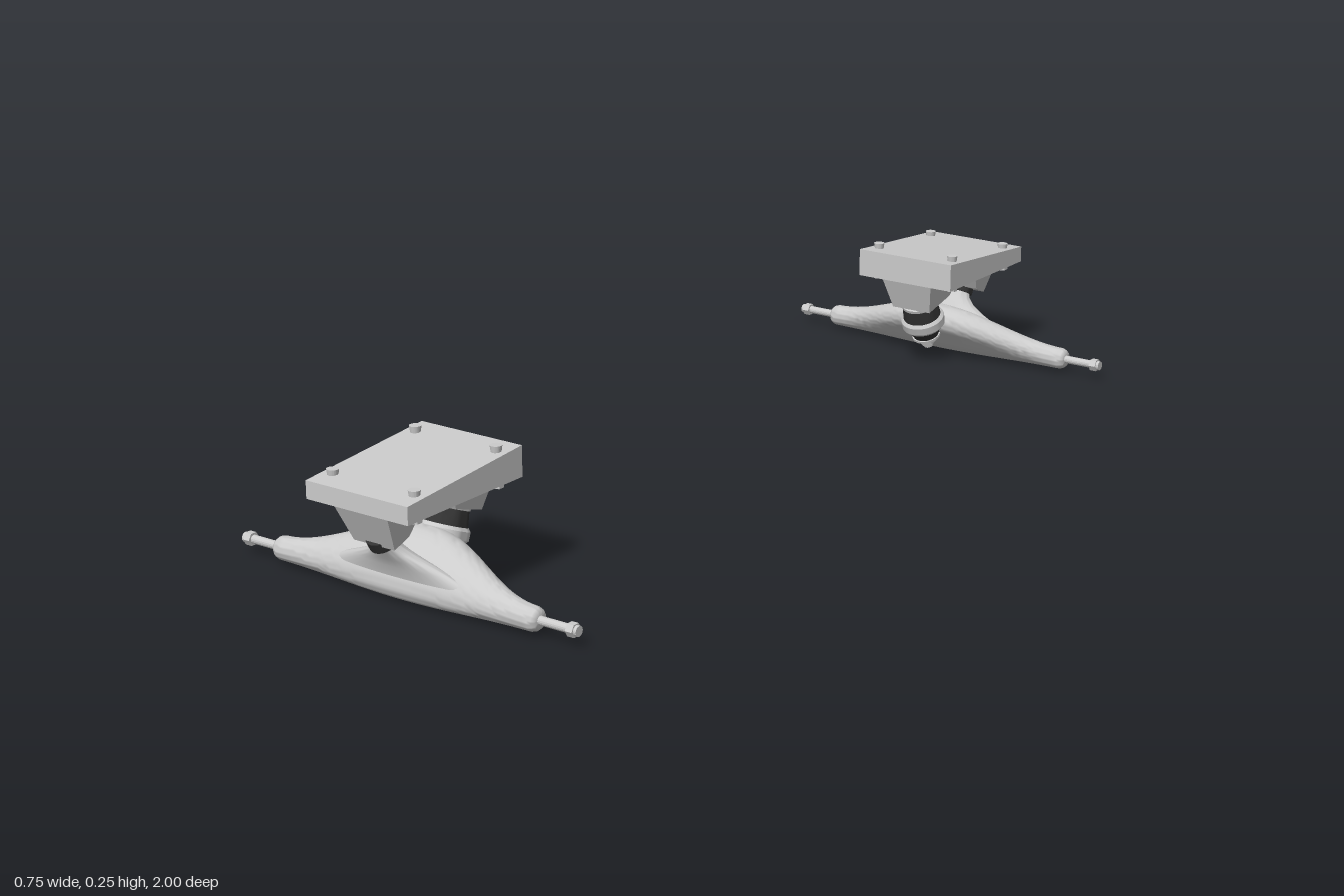
import * as THREE from 'three';
import { toCreasedNormals } from 'three/addons/utils/BufferGeometryUtils.js';

const metal = new THREE.MeshStandardMaterial({ color: 0xcccccc });
const rubber = new THREE.MeshStandardMaterial({ color: 0x333333 });

function add(parent, name, geometry, x = 0, y = 0, z = 0, material = metal) {
  const mesh = new THREE.Mesh(geometry, material);
  mesh.name = name;
  mesh.position.set(x, y, z);
  parent.add(mesh);
  return mesh;
}

// Skin a closed solid over rings of [x, y, z] points, facing outwards
function loft(rings, crease = 0.7) {
  const n = rings[0].length, pts = rings.flat(), index = [];
  for (let r = 0; r < rings.length - 1; r++) {
    for (let i = 0; i < n; i++) {
      const a = r * n + i, b = r * n + (i + 1) % n;
      index.push(a, b, a + n, b, b + n, a + n);
    }
  }
  [0, rings.length - 1].forEach((r, end) => {
    const c = pts.length;
    pts.push([0, 1, 2].map(k => rings[r].reduce((s, p) => s + p[k], 0) / n));
    for (let i = 0; i < n; i++) {
      const a = r * n + i, b = r * n + (i + 1) % n;
      index.push(c, end ? a : b, end ? b : a);
    }
  });
  const v = pts.map(p => new THREE.Vector3(...p));
  let volume = 0;
  for (let i = 0; i < index.length; i += 3) {
    volume += v[index[i]].dot(v[index[i + 1]].clone().cross(v[index[i + 2]]));
  }
  if (volume < 0) index.reverse();
  const g = new THREE.BufferGeometry().setFromPoints(v);
  g.setIndex(index);
  return toCreasedNormals(g, crease);
}

// Horizontal rounded ring; power 2 is an ellipse, higher is boxier
function oval(y, hw, zc, hd, power = 2, n = 40) {
  return Array.from({ length: n }, (_, i) => {
    const a = i / n * Math.PI * 2;
    const f = t => Math.sign(t) * Math.abs(t) ** (2 / power);
    return [hw * f(Math.cos(a)), y, zc + hd * f(Math.sin(a))];
  });
}

// Tapered block: a side profile of [z, y, half width]
function taperedBlock(profile) {
  return loft([-1, 1].map(s => profile.map(([z, y, w]) => [s * w, y, z])), 0.3);
}

const cyl = (r, h, sides = 24, r2 = r) =>
  toCreasedNormals(new THREE.CylinderGeometry(r, r2, h, sides), 0.6);

function makeBaseplate() {
  const g = new THREE.Group();
  g.name = 'baseplate';
  const W = 0.112;
  add(g, 'mountingPlate', taperedBlock([[1, 0.19, W], [1, 0.223, W], [0.705, 0.247, W], [0.705, 0.19, W]]));
  add(g, 'centreWeb', taperedBlock([[0.91, 0.192, 0.058], [0.89, 0.178, 0.055], [0.82, 0.178, 0.055], [0.8, 0.192, 0.058]]));
  add(g, 'pivotHousing', taperedBlock([[0.993, 0.192, 0.06], [0.96, 0.12, 0.045], [0.925, 0.135, 0.047], [0.893, 0.192, 0.06]]));
  add(g, 'kingpinHousing', taperedBlock([[0.83, 0.192, 0.06], [0.808, 0.148, 0.05], [0.735, 0.125, 0.045], [0.712, 0.192, 0.06]]));
  // Four mounting bolts with nuts underneath
  for (const x of [-0.09, 0.09]) {
    for (const z of [0.957, 0.747]) {
      const top = z > 0.85 ? 0.236 : 0.255;
      add(g, 'boltHead', cyl(0.011, 0.014, 20, 0.009), x, top - 0.007, z);
      add(g, 'boltShank', cyl(0.007, top - 0.18, 16), x, (top + 0.176) / 2, z);
      add(g, 'boltNut', cyl(0.012, 0.012, 6), x, 0.185, z);
    }
  }
  return g;
}

function makeHanger() {
  const g = new THREE.Group();
  g.name = 'hanger';
  // Section at the middle as [z, y], blending into a round section at the ends
  const middle = [[0.89, 0.001], [0.914, 0.014], [0.917, 0.04], [0.9, 0.075], [0.865, 0.106],
    [0.83, 0.116], [0.8, 0.1], [0.8, 0.075], [0.825, 0.048], [0.86, 0.016]];
  const section = x => {
    const ax = Math.abs(x);
    const w = ax < 0.285 ? 0.5 + 0.5 * Math.cos(Math.PI * ax / 0.285) : 0;
    const r = ax > 0.29 ? 0.016 : ax > 0.284 ? 0.02 : 0.022;
    const pts = middle.map(([z, y], k) => {
      const a = k * Math.PI / 5;
      const ez = 0.886 + r * Math.sin(a), ey = 0.03 - r * Math.cos(a);
      return new THREE.Vector3(x, ey + (y - ey) * w, ez + (z - ez) * w);
    });
    return new THREE.CatmullRomCurve3(pts, true).getPoints(40).slice(0, 40).map(p => p.toArray());
  };
  const xs = [-0.292, -0.287];
  for (let i = -28; i <= 28; i++) xs.push(i / 100);
  xs.push(0.287, 0.292);
  add(g, 'hangerBody', loft(xs.map(section), 0.9));
  // Pivot stem flaring down into the body
  const stem = [[0.05, 0.16, 0.893, 0.023], [0.07, 0.11, 0.9, 0.022], [0.085, 0.072, 0.908, 0.022],
    [0.097, 0.045, 0.916, 0.022], [0.11, 0.028, 0.925, 0.021], [0.125, 0.02, 0.936, 0.02], [0.142, 0.018, 0.946, 0.018]];
  add(g, 'pivotStem', loft(stem.map(s => oval(...s)), 0.9));
  add(g, 'pivotCup', cyl(0.026, 0.02), 0, 0.126, 0.941, rubber).rotation.x = 0.5;
  // Axle and end nuts
  add(g, 'axle', cyl(0.008, 0.745, 16), 0, 0.03, 0.886).rotation.z = Math.PI / 2;
  for (const s of [-1, 1]) {
    add(g, 'axleNut', cyl(0.013, 0.014, 6), s * 0.36, 0.03, 0.886).rotation.z = Math.PI / 2;
    add(g, 'axleTip', cyl(0.0095, 0.012, 16), s * 0.367, 0.03, 0.886).rotation.z = Math.PI / 2;
  }
  return g;
}

// Tilted stack: yoke ring, bushings, washers, kingpin and nut
function makeKingpin() {
  const g = new THREE.Group();
  g.name = 'kingpinAssembly';
  g.position.set(0, 0.09, 0.785);
  g.rotation.x = -0.38;
  const ring = [[0.02, -0.013], [0.041, -0.013], [0.046, -0.007], [0.046, 0.009], [0.041, 0.015], [0.02, 0.015], [0.02, -0.013]];
  add(g, 'yokeRing', toCreasedNormals(new THREE.LatheGeometry(ring.map(p => new THREE.Vector2(...p)), 40), 0.6));
  add(g, 'upperBushing', cyl(0.036, 0.03, 32, 0.04), 0, 0.03, 0, rubber);
  add(g, 'upperWasher', cyl(0.038, 0.006, 32), 0, 0.047, 0);
  add(g, 'lowerBushing', cyl(0.036, 0.024, 32, 0.027), 0, -0.024, 0, rubber);
  add(g, 'lowerWasher', cyl(0.03, 0.005, 32), 0, -0.038, 0);
  add(g, 'kingpinNut', cyl(0.018, 0.016, 6), 0, -0.048, 0);
  add(g, 'kingpin', cyl(0.01, 0.14, 20), 0, 0.004, 0);
  return g;
}

function makeTruck(name) {
  const truck = new THREE.Group();
  truck.name = name;
  truck.add(makeBaseplate(), makeHanger(), makeKingpin());
  return truck;
}

export function createModel() {
  const model = new THREE.Group();
  model.name = 'skateboardTrucks';
  const front = makeTruck('frontTruck');
  const back = makeTruck('backTruck');
  back.rotation.y = Math.PI;
  model.add(front, back);
  return model;
}
